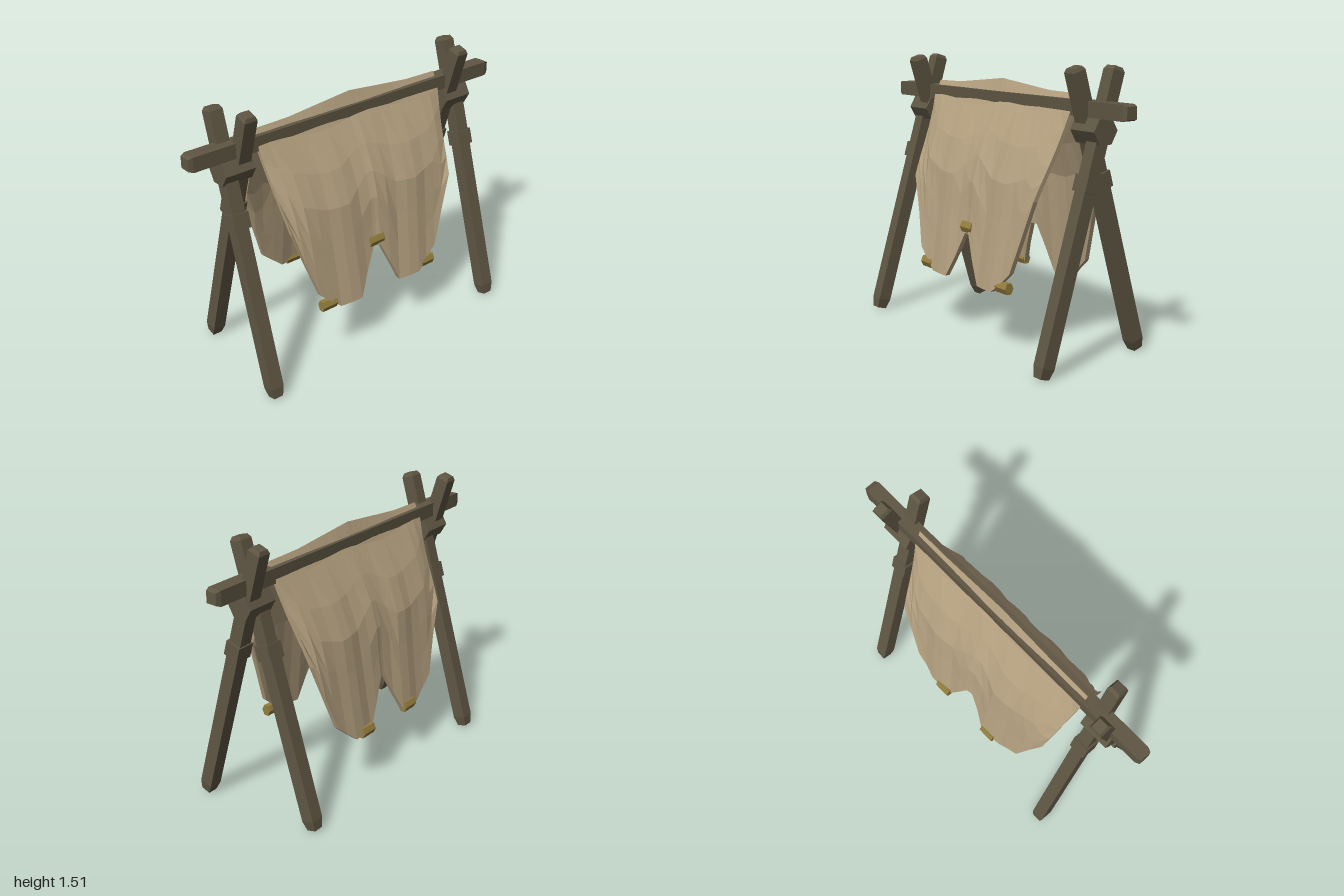
import * as THREE from 'three';

const wood = new THREE.MeshStandardMaterial({ color: 0x5f5643 });
wood.name = 'weathered wood';
const cloth = new THREE.MeshStandardMaterial({ color: 0xb5a180 });
cloth.name = 'tan hide';
const brass = new THREE.MeshStandardMaterial({ color: 0x937d3e });
brass.name = 'dull brass';

function faceted(geometry) {
  const g = geometry.index ? geometry.toNonIndexed() : geometry;
  g.computeVertexNormals();
  return g;
}

function add(parent, name, geometry, material, x, y, z) {
  const mesh = new THREE.Mesh(faceted(geometry), material);
  mesh.name = name;
  mesh.position.set(x, y, z);
  parent.add(mesh);
  return mesh;
}

// Square bar along y whose two ends narrow to a blunt tip
function bar(w, length, d, bottomTip, topTip, scale) {
  const g = new THREE.BoxGeometry(w, length, d, 1, 3, 1);
  const p = g.attributes.position;
  const h = length / 2;
  for (let i = 0; i < p.count; i++) {
    const y = p.getY(i);
    if (Math.abs(y) > h - 1e-4) {
      p.setX(i, p.getX(i) * scale);
      p.setZ(i, p.getZ(i) * scale);
    } else {
      p.setY(i, y > 0 ? h - topTip : bottomTip - h);
    }
  }
  return g;
}

// Piecewise linear lookup in [key, value, ...] rows sorted by key
function lookup(rows, t, k = 1) {
  let i = 0;
  while (i < rows.length - 2 && t > rows[i + 1][0]) i++;
  const a = rows[i], b = rows[i + 1];
  return THREE.MathUtils.lerp(a[k], b[k], THREE.MathUtils.clamp((t - a[0]) / (b[0] - a[0]), 0, 1));
}

// Hem: position across the half width, x, y
const hem = [[0, 0, 0.58], [0.04, 0.02, 0.58], [0.3, 0.14, 0.325], [0.52, 0.28, 0.325], [0.78, 0.41, 0.44], [1, 0.545, 0.83]];
const ridge = [[0, 1.405], [0.66, 1.365], [1, 1.362]];
const columns = [0, 0.04, 0.17, 0.3, 0.41, 0.52, 0.65, 0.78, 0.89, 1];
const across = [...columns.slice(1).reverse().map((v) => -v), ...columns];

// Distance of the hide from the beam's middle plane at a given height
function bulge(y) {
  const d = Math.max(0, 1.275 - y);
  return 0.04 + 0.19 * Math.sin(Math.min(1, d / 0.55) * Math.PI / 2) + 0.14 * Math.max(0, d - 0.55);
}

// One hanging panel: outer and inner sheets joined around their border
function panel(phase) {
  const rows = 6, n = across.length, thick = 0.027;
  const pos = [], idx = [];
  for (let side = 0; side < 2; side++) {
    for (let r = 0; r <= rows; r++) {
      for (const u of across) {
        const t = Math.abs(u), s = Math.sign(u);
        if (r === 0) {
          pos.push(u * 0.605, lookup(ridge, t) - side * thick, 0);
          continue;
        }
        const f = (r - 1) / (rows - 1);
        const topY = 1.27 + 0.015 * Math.sin(u * 6 + phase);
        const y = THREE.MathUtils.lerp(topY, lookup(hem, t, 2), f);
        const x = s * THREE.MathUtils.lerp(t * 0.605, lookup(hem, t, 1), f);
        // Vertical folds, a dip above the notch and side edges curling inward
        const fold = 0.008 * Math.sin(u * 15 + phase) * Math.min(1, f * 3) * (1 - t * t);
        const dip = 0.012 * f * Math.max(0, 1 - t * 6);
        const curl = 0.03 * t ** 6 * Math.sin(Math.PI * f);
        pos.push(x, y, bulge(y) + fold - dip - curl - side * thick);
      }
    }
  }
  const at = (side, r, c) => side * (rows + 1) * n + r * n + c;
  const quad = (a, b, c, d) => idx.push(a, b, c, a, c, d);
  for (let r = 0; r < rows; r++) {
    for (let c = 0; c < n - 1; c++) {
      quad(at(0, r, c), at(0, r + 1, c), at(0, r + 1, c + 1), at(0, r, c + 1));
      quad(at(1, r, c), at(1, r, c + 1), at(1, r + 1, c + 1), at(1, r + 1, c));
    }
    quad(at(0, r, 0), at(1, r, 0), at(1, r + 1, 0), at(0, r + 1, 0));
    quad(at(0, r, n - 1), at(0, r + 1, n - 1), at(1, r + 1, n - 1), at(1, r, n - 1));
  }
  for (let c = 0; c < n - 1; c++) {
    quad(at(0, rows, c), at(1, rows, c), at(1, rows, c + 1), at(0, rows, c + 1));
  }
  const g = new THREE.BufferGeometry();
  g.setAttribute('position', new THREE.Float32BufferAttribute(pos, 3));
  g.setIndex(idx);
  return g;
}

export function createModel() {
  const model = new THREE.Group();
  model.name = 'hide drying rack';

  // Horizontal beam
  add(model, 'beam', bar(0.08, 2, 0.08, 0.025, 0.025, 0.78).rotateZ(Math.PI / 2), wood, 0, 1.295, 0);

  // Crossed legs with collars, lashed together at each end
  const lean = 0.291;
  for (const side of [-1, 1]) {
    const frame = new THREE.Group();
    frame.name = side > 0 ? 'leftFrame' : 'rightFrame';
    for (const face of [1, -1]) {
      const x = side * (face > 0 ? 0.771 : 0.698);
      const leg = add(frame, face > 0 ? 'frontLeg' : 'backLeg',
        bar(0.074, 1.555, 0.075, 0.055, 0.02, 0.72), wood, x, 0.754, face * 0.1235);
      leg.rotation.x = -face * lean;
      const collar = add(frame, 'legCollar', new THREE.BoxGeometry(0.097, 0.085, 0.09), wood, x, 0.935, face * 0.07);
      collar.rotation.x = -face * lean;
    }
    const lashing = new THREE.CylinderGeometry(0.076, 0.076, 0.175, 6).rotateZ(Math.PI / 2);
    add(frame, 'lashing', lashing, wood, side * 0.735, 1.193, 0);
    model.add(frame);
  }

  // Hide draped over the beam
  add(model, 'frontHide', panel(0.6), cloth, 0, 0, 0);
  add(model, 'backHide', panel(2.4).rotateY(Math.PI), cloth, 0, 0, 0);

  // Hexagonal weights along the hems
  const weights = [[0, 0.615, 0.23], [-0.35, 0.36, 0.258], [0.35, 0.36, 0.258], [-0.19, 0.338, -0.28], [0.185, 0.338, -0.28]];
  for (const [x, y, z] of weights) {
    const g = new THREE.CylinderGeometry(0.034, 0.034, 0.094, 6).rotateZ(Math.PI / 2).scale(1, 1, 0.8);
    add(model, 'hemWeight', g, brass, x, y, z);
  }
  return model;
}
